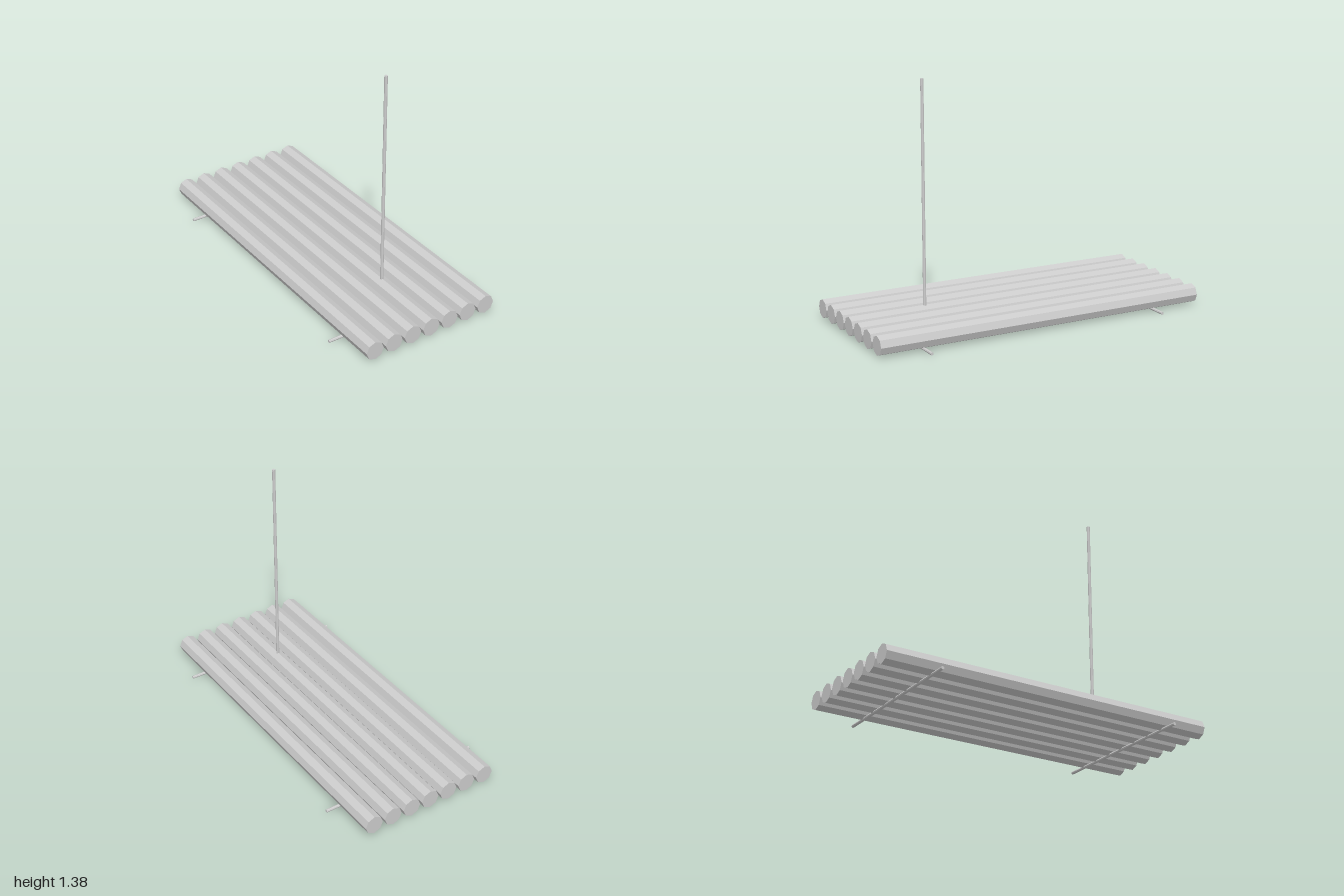
import * as THREE from 'three';

const material = new THREE.MeshStandardMaterial({ color: 0xcccccc, flatShading: true });

// Eight-sided pole, standing along y
function pole(name, radius, length) {
  const mesh = new THREE.Mesh(new THREE.CylinderGeometry(radius, radius, length, 8), material);
  mesh.name = name;
  return mesh;
}

export function createModel() {
  const raft = new THREE.Group();
  raft.name = 'raft';

  // Deck of seven logs running front to back
  const deck = new THREE.Group();
  deck.name = 'deck';
  for (let i = -3; i <= 3; i++) {
    const log = pole('log', 0.055, 2);
    log.rotation.x = Math.PI / 2;
    log.position.set(i * 0.1235, 0.062, 0);
    deck.add(log);
  }
  raft.add(deck);

  // Thin cross rods under the deck
  for (const [name, z] of [['frontCrossRod', 0.738], ['backCrossRod', -0.717]]) {
    const rod = pole(name, 0.009, 0.976);
    rod.rotation.z = Math.PI / 2;
    rod.position.set(0, 0.009, z);
    raft.add(rod);
  }

  // Mast, set into the middle log
  const bottom = 0.06, top = 1.383;
  const mast = pole('mast', 0.0095, top - bottom);
  mast.position.set(0, (top + bottom) / 2, 0.543);
  raft.add(mast);

  return raft;
}
